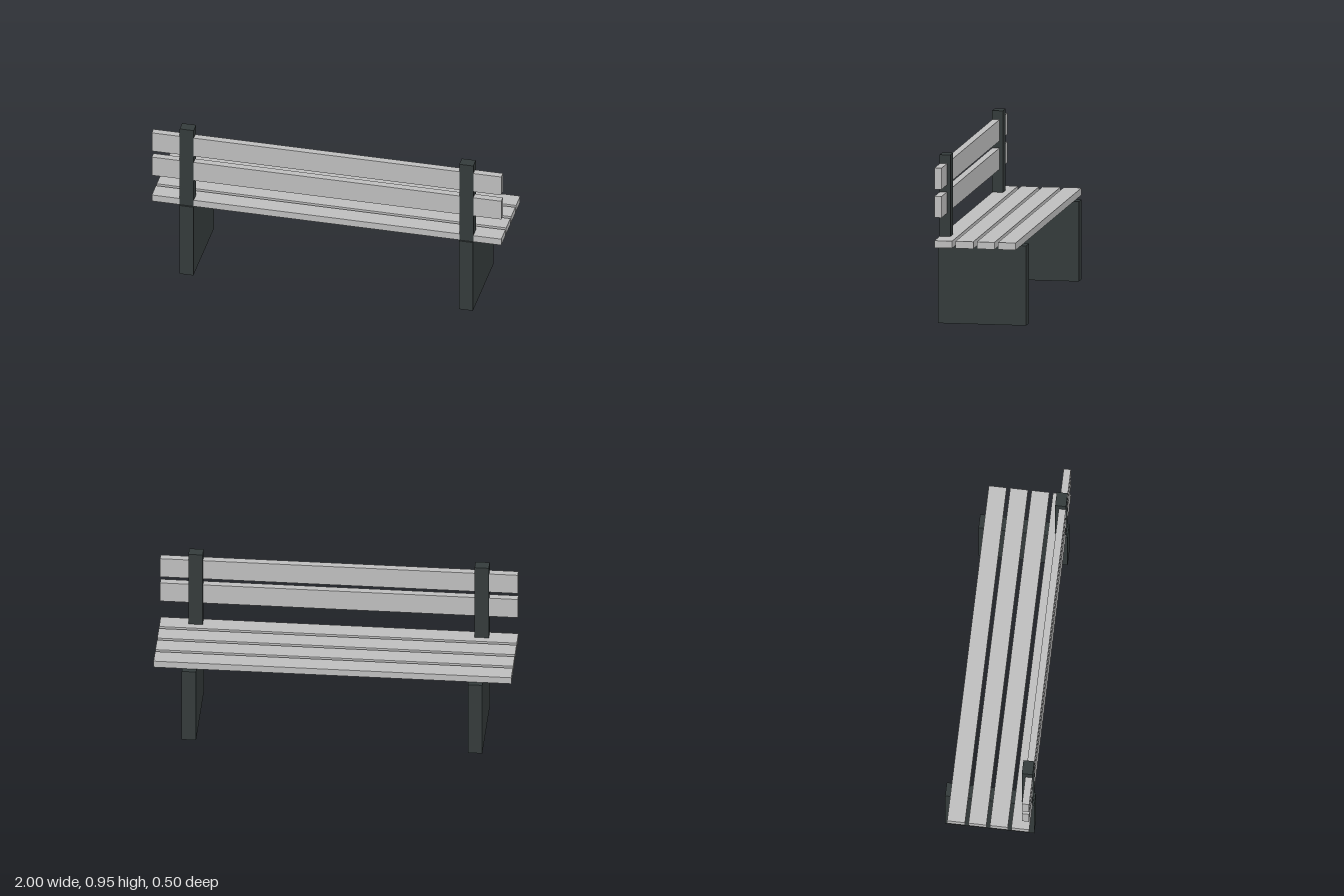
import * as THREE from 'three';

export function createModel() {
  const slatGrey = new THREE.MeshStandardMaterial({ color: 0xbebebe });
  slatGrey.name = 'slatGrey';
  const frameDark = new THREE.MeshStandardMaterial({ color: 0x343b3b });
  frameDark.name = 'frameDark';

  const bench = new THREE.Group();
  bench.name = 'bench';

  function addBox(name, material, size, position) {
    const mesh = new THREE.Mesh(new THREE.BoxGeometry(...size), material);
    mesh.name = name;
    mesh.position.set(...position);
    bench.add(mesh);
  }

  // Solid panel legs, each with a backrest post standing just proud of the slats
  for (const [side, x] of [['left', 0.8], ['right', -0.8]]) {
    addBox(side + 'Leg', frameDark, [0.08, 0.45, 0.5], [x, 0.225, 0]);
    addBox(side + 'Post', frameDark, [0.08, 0.5, 0.061], [x, 0.7, 0.2105]);
  }

  // Seat slats, evenly spaced from the backrest to the open edge
  for (let i = 0; i < 4; i++) {
    addBox('seatSlat' + (i + 1), slatGrey, [2, 0.04, 0.1], [0, 0.47, 0.19 - i * 0.12]);
  }

  // Backrest slats
  [0.68, 0.84].forEach((y, i) => {
    addBox('backSlat' + (i + 1), slatGrey, [2, 0.12, 0.04], [0, y, 0.22]);
  });

  return bench;
}
